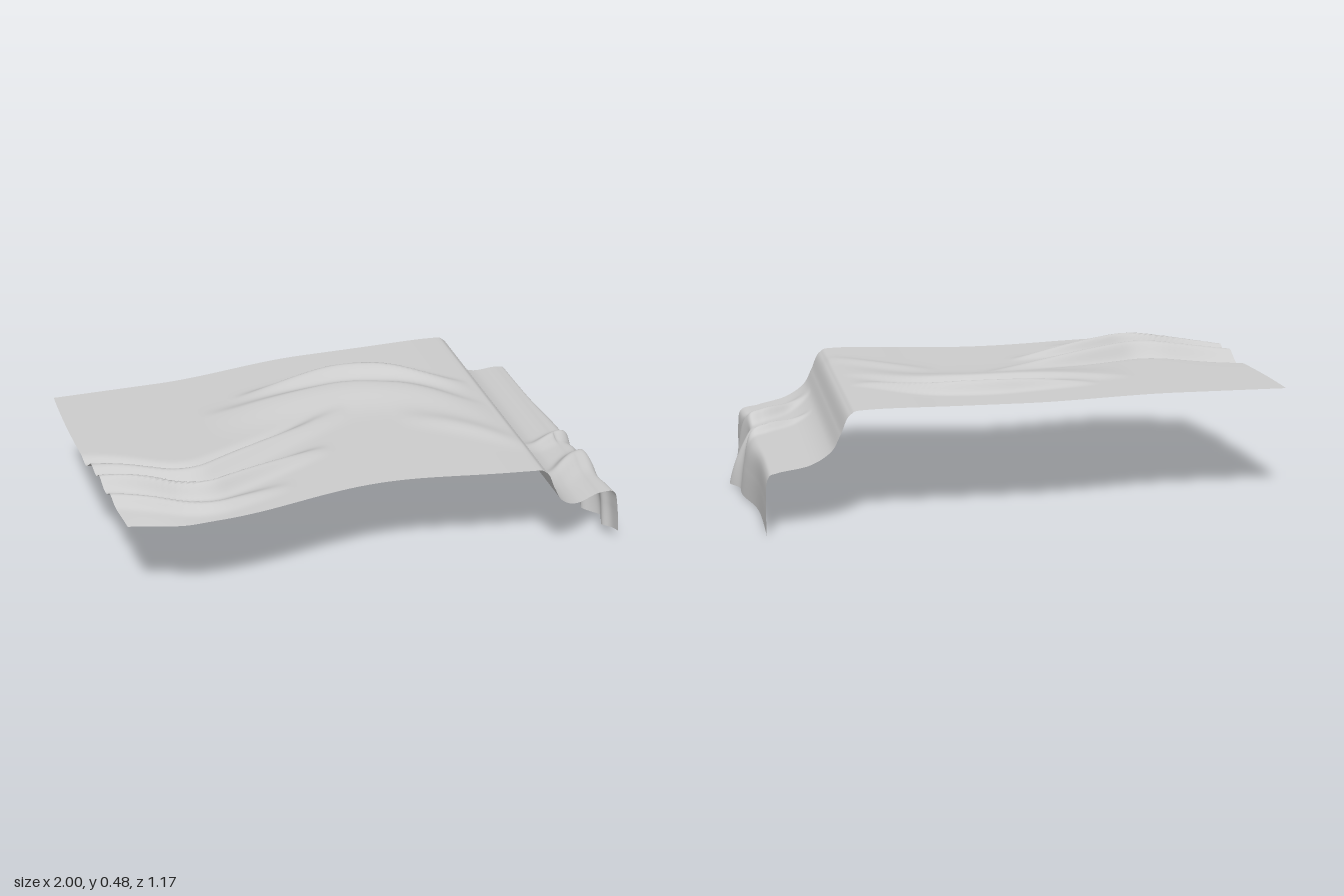
import * as THREE from 'three';

const { lerp, smoothstep, clamp } = THREE.MathUtils;

// Side profile of the cloth: flat top, step down, short shelf, hanging end
const PROFILE = [
  [-1, .437], [-.6, .437], [-.2, .437], [.2, .437], [.53, .437], [.605, .42], [.64, .35],
  [.675, .29], [.75, .25], [.86, .237], [.9, .215], [.908, .12], [.908, .015],
];

// Folds: crest height, widths of the back and front slopes, crest path of [x, z].
// The height swells from one end of the path to the other.
const FOLDS = [
  { height: .045, back: .025, front: .06, path: [[-.35, -.25], [.08, -.345], [.3, -.32], [.56, -.1]] },
  { height: .038, back: .04, front: .13, path: [[-.5, -.14], [.1, -.21], [.35, -.14], [.57, .1]] },
  { height: .045, back: .035, front: .05, path: [[-1.3, .05], [-.9, .14], [-.65, .3], [.05, -.05]] },
  { height: .055, back: .025, front: .035, path: [[-1.2, .14], [-.85, .25], [-.64, .42], [-.1, .2]] },
  { height: .03, back: .025, front: .03, path: [[-1.3, .2], [-.85, .36], [-.64, .51], [-.3, .42]] },
  { height: -.02, back: .03, front: .03, path: [[-1.3, -.02], [-.9, .06], [-.65, .22], [-.1, 0]] },
  { height: .012, back: .06, front: .06, path: [[.2, .05], [.4, .17], [.62, .4]] },
  { height: .04, back: .035, front: .06, path: [[.66, .42], [.86, .22], [1.1, .16]] },
  { height: .028, back: .025, front: .03, path: [[.68, .15], [.9, .02], [1.1, 0]] },
];

// Pleats pushing the hanging end outwards: [z at hem, width, depth]
const PLEATS = [[-.02, .16, .045], [.12, .05, .055], [.31, .045, .03], [.22, .03, -.02], [.41, .03, -.02]];

const gauss = (d, w) => Math.exp(-(d * d) / (w * w));

// z of a crest path at x
function crestAt(path, x) {
  const i = clamp(path.findIndex(p => p[0] >= x), 1, path.length - 1);
  const [x0, z0] = path[i - 1], [x1, z1] = path[i];
  return lerp(z0, z1, (x - x0) / (x1 - x0));
}

function foldHeight(x, z) {
  let sum = 0;
  for (const { height, back, front, path } of FOLDS) {
    const start = path[0][0], end = path[path.length - 1][0];
    if (x <= start || x >= end) continue;
    // Average nearby crest positions to round the bends
    let crest = 0;
    for (let k = -3; k <= 3; k++) crest += crestAt(path, clamp(x + k * .025, start, end)) / 7;
    const d = z - crest;
    sum += height * Math.sin(Math.PI * (x - start) / (end - start)) * gauss(d, d < 0 ? back : front);
  }
  return sum;
}

// Wavy outline of the back and front edges
const backEdge = x => -.47 - .07 * smoothstep(x, -.6, 0) - .05 * smoothstep(x, .65, .9);
const frontEdge = x => .54 + .04 * Math.cos((x + .62) / 1.24 * 2 * Math.PI)
  - .035 * smoothstep(-x, .7, 1) - .08 * smoothstep(x, .65, .92);

function clothPoint(base, t) {
  let { x, y } = base;
  const drop = clamp((.235 - y) / .22, 0, 1);
  const leftEnd = smoothstep(-x, .6, 1);
  const z = lerp(backEdge(x), frontEdge(x) + .04 * drop, t);

  // The front corners draw in at the left, and swing out and up at the hem
  x += t * t * (.09 * leftEnd + .035 * smoothstep(x, .86, .91));
  y += t ** 6 * (.055 * drop - .025 * leftEnd);

  // Folds lift the flat parts and fade out down the hanging end
  y += foldHeight(x, z) * (1 - smoothstep(drop, 0, .45));

  // Pleats grow towards the hem
  for (const [hemZ, width, depth] of PLEATS) {
    x += depth * Math.sqrt(drop) * gauss(z - hemZ + (1 - drop) * .06, width);
  }
  x -= .03 * gauss(z - .06, .035) * smoothstep(x, .84, .9) * (1 - drop);
  y -= .014 * drop * gauss(z - .27, .08);
  return [Math.min(x, 1), Math.max(y, 0), z];
}

function createClothGeometry(columns, rows) {
  const profile = new THREE.SplineCurve(PROFILE.map(p => new THREE.Vector2(...p)));
  const positions = [], indices = [];
  for (let i = 0; i <= columns; i++) {
    const base = profile.getPoint(i / columns);
    for (let j = 0; j <= rows; j++) {
      positions.push(...clothPoint(base, j / rows));
      if (i === columns || j === rows) continue;
      const p = i * (rows + 1) + j, q = p + rows + 1;
      indices.push(p, p + 1, q, p + 1, q + 1, q);
    }
  }
  const geometry = new THREE.BufferGeometry();
  geometry.setAttribute('position', new THREE.Float32BufferAttribute(positions, 3));
  geometry.setIndex(indices);
  geometry.computeVertexNormals();
  return geometry;
}

export function createModel() {
  const group = new THREE.Group();
  group.name = 'drapedCloth';
  const fabric = new THREE.MeshStandardMaterial({ color: 0xcccccc, side: THREE.DoubleSide });
  fabric.name = 'light grey fabric';
  const cloth = new THREE.Mesh(createClothGeometry(240, 130), fabric);
  cloth.name = 'clothSheet';
  group.add(cloth);
  return group;
}
